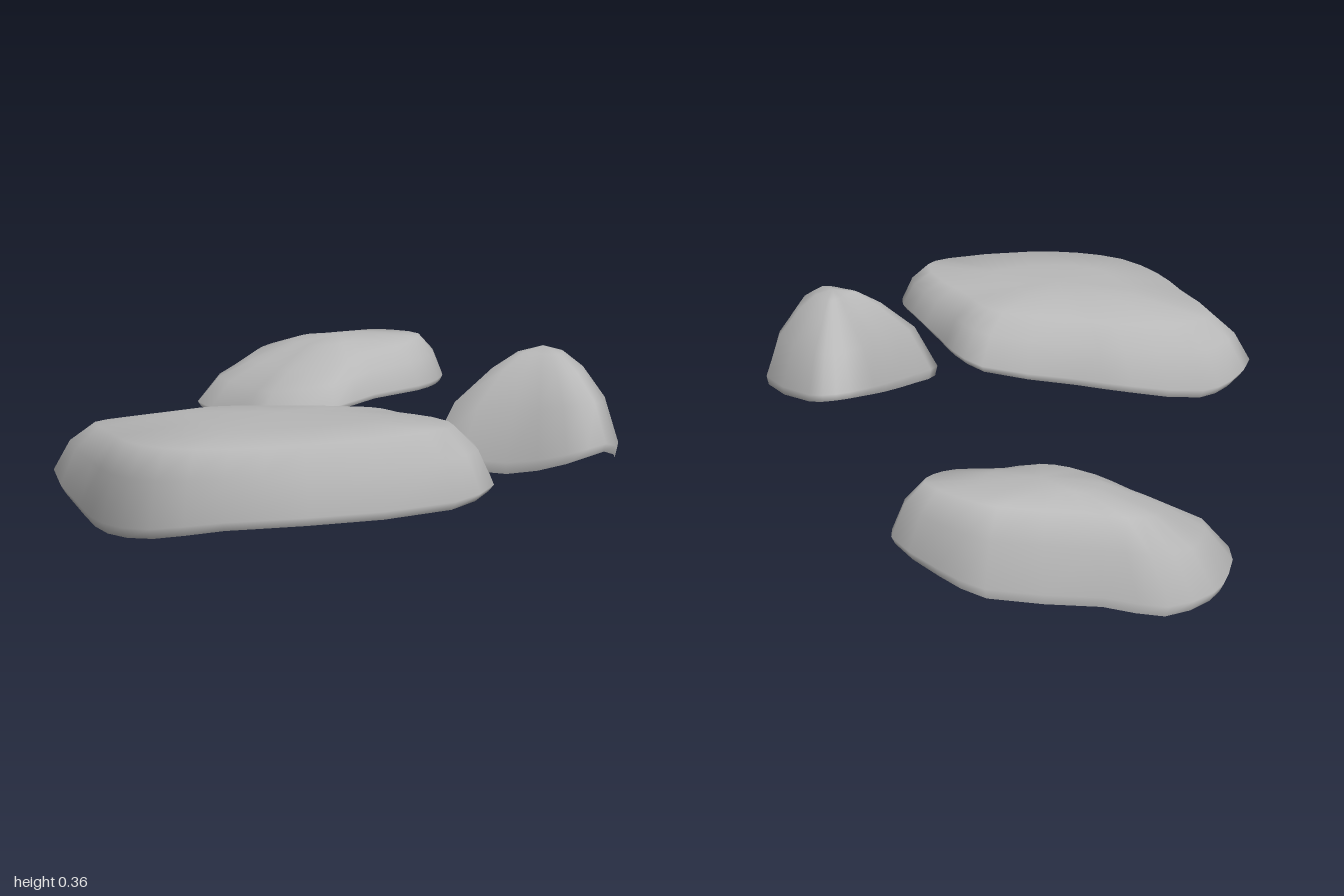
import * as THREE from 'three';

const { lerp } = THREE.MathUtils;

// Rings from rim to peak: blend from peak to rim, via the shoulder scale s
const RINGS = [
  (s) => ({ scale: 0.975, rise: 0, crown: 0 }),
  (s) => ({ scale: 1, rise: 0.12, crown: 0 }),
  (s) => ({ scale: lerp(1, s, 0.4), rise: 0.65, crown: 0 }),
  (s) => ({ scale: s, rise: 1, crown: 0 }),
  (s) => ({ scale: s * 0.5, rise: 1, crown: 0.75 }),
];

// Open-bottomed stone shell over a smooth closed rim.
// shoulder: height at the peak's position, with slopes along x and z
// inset: shoulder scale, with its change towards +x and +z
function rockShell(rim, peak, shoulder, inset) {
  const n = rim.length * 2;
  const curve = new THREE.CatmullRomCurve3(rim.map((p) => new THREE.Vector3(...p)), true);
  const position = [];
  const index = [];
  for (const ring of RINGS) {
    for (let i = 0; i < n; i++) {
      const p = curve.getPoint(i / n);
      const dx = p.x - peak.x;
      const dz = p.z - peak.z;
      const reach = Math.hypot(dx, dz);
      const { scale, rise, crown } = ring(inset[0] + (inset[1] * dx + inset[2] * dz) / reach);
      const top = shoulder[0] + shoulder[1] * dx + shoulder[2] * dz;
      const y = lerp(lerp(p.y, top, rise), peak.y, crown);
      position.push(peak.x + dx * scale, y, peak.z + dz * scale);
    }
  }
  position.push(peak.x, peak.y, peak.z);

  const last = RINGS.length - 1;
  for (let r = 0; r <= last; r++) {
    for (let i = 0; i < n; i++) {
      const a = r * n + i;
      const b = r * n + (i + 1) % n;
      if (r === last) index.push(a, a + n - i, b);
      else index.push(a, a + n, b, b, a + n, b + n);
    }
  }
  const geometry = new THREE.BufferGeometry();
  geometry.setAttribute('position', new THREE.Float32BufferAttribute(position, 3));
  geometry.setIndex(index);
  geometry.computeVertexNormals();
  return geometry;
}

export function createModel() {
  const group = new THREE.Group();
  group.name = 'rocks';
  const stone = new THREE.MeshStandardMaterial({ color: 0xb8b8b8, side: THREE.DoubleSide });
  stone.name = 'stone grey';

  const addRock = (name, rim, peak, shoulder, inset) => {
    const mesh = new THREE.Mesh(rockShell(rim, new THREE.Vector3(...peak), shoulder, inset), stone);
    mesh.name = name;
    group.add(mesh);
  };

  // Broad flat slab, steep at the front and lower at the back
  addRock('largeFlatRock', [
    [-0.65, 0.08, 0.27], [-0.57, 0.045, 0.2], [-0.48, 0.03, 0.175], [-0.285, 0.055, 0.2],
    [-0.15, 0.07, 0.26], [0.085, 0.1, 0.355], [0.14, 0.12, 0.46], [0.15, 0.125, 0.58],
    [0.19, 0.16, 0.73], [0.18, 0.15, 0.91], [0.085, 0.13, 0.965], [-0.22, 0.12, 0.99],
    [-0.38, 0.11, 0.955], [-0.51, 0.08, 0.87], [-0.585, 0.055, 0.71], [-0.615, 0.05, 0.53],
  ], [-0.2, 0.272, 0.6], [0.248, 0.03, 0.06], [0.81, -0.04, 0.07]);

  // Low rock at the back, rising to its left
  addRock('backRock', [
    [-0.155, 0.025, -0.79], [-0.11, 0.015, -0.9], [-0.05, 0.01, -0.97], [0.06, 0.003, -1],
    [0.18, 0.02, -0.955], [0.41, 0.045, -0.9], [0.49, 0.07, -0.82], [0.555, 0.1, -0.7],
    [0.52, 0.095, -0.62], [0.445, 0.09, -0.555], [0.305, 0.08, -0.51], [0.16, 0.065, -0.415],
    [-0.03, 0.015, -0.485], [-0.09, 0.01, -0.635],
  ], [0.25, 0.232, -0.75], [0.2, 0.11, -0.05], [0.7, 0.08, -0.03]);

  // Small rock with a tall rounded peak
  addRock('smallPeakedRock', [
    [0.2, 0.095, 0.385], [0.27, 0.1, 0.32], [0.375, 0.12, 0.21], [0.455, 0.145, 0.115],
    [0.525, 0.15, 0.085], [0.585, 0.14, 0.125], [0.655, 0.115, 0.375], [0.615, 0.11, 0.49],
    [0.525, 0.16, 0.645], [0.445, 0.13, 0.62], [0.34, 0.09, 0.515],
  ], [0.475, 0.358, 0.37], [0.31, 0, 0.02], [0.47, 0.02, 0.08]);

  return group;
}
